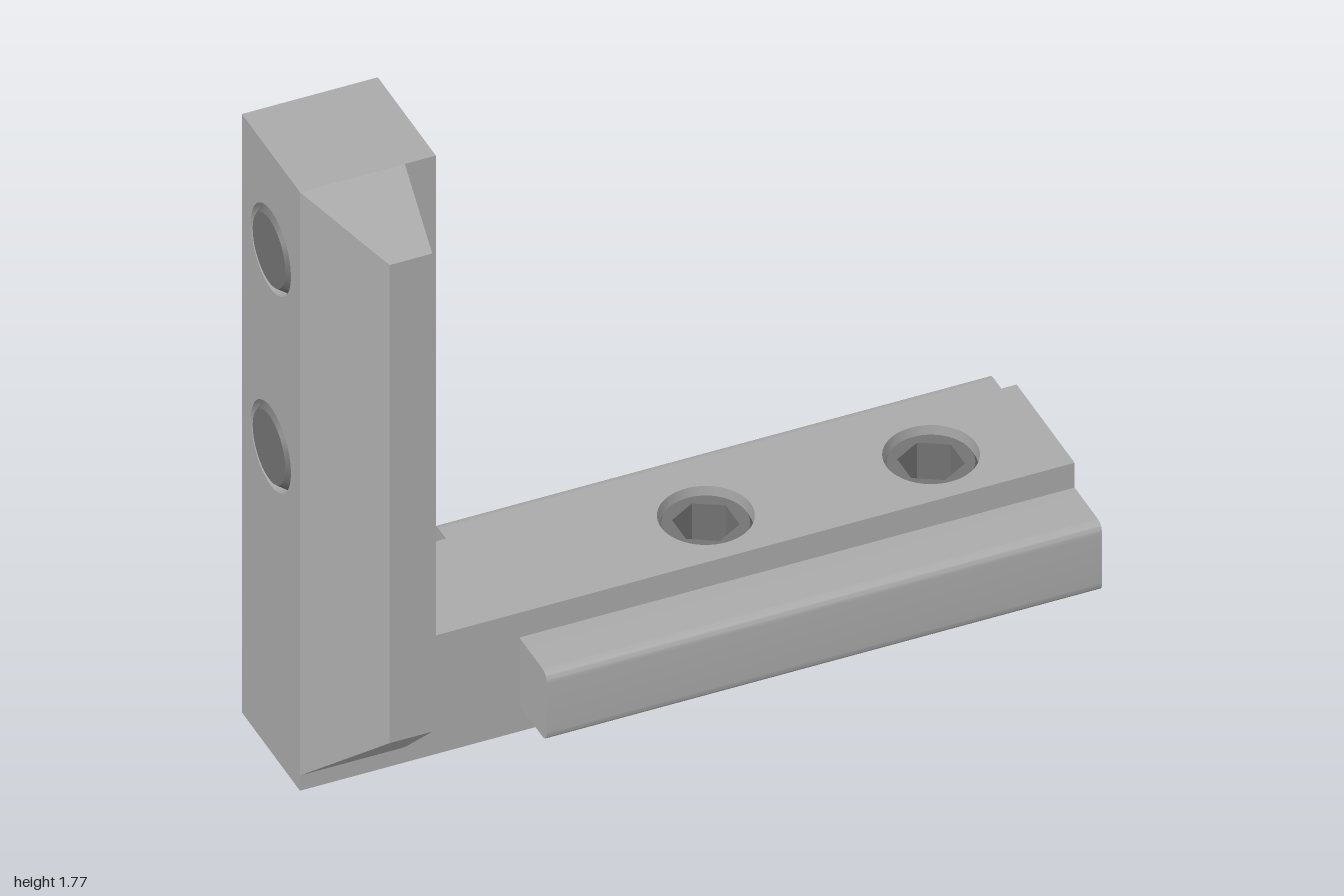
import * as THREE from 'three';
import { mergeGeometries, toCreasedNormals } from 'three/addons/utils/BufferGeometryUtils.js';

const HALF = 0.167;   // half width of the arms
const OUTER = 0.325;  // half width across the side rails
const THICK = 0.35;   // arm thickness
const HOLE = 0.115;   // screw hole radius

const steel = new THREE.MeshStandardMaterial({ color: 0xaaaaaa });
steel.name = 'steel grey';
const dark = new THREE.MeshStandardMaterial({ color: 0x737373 });
dark.name = 'dark screw grey';

function add(parent, name, geometry, material) {
  const mesh = new THREE.Mesh(geometry, material);
  mesh.name = name;
  parent.add(mesh);
  return mesh;
}

// Slab lying along x from x0 to x1, thickness in +y, with round through holes
function armGeometry(x0, x1, holes) {
  const shape = new THREE.Shape();
  shape.moveTo(x0, -HALF).lineTo(x1, -HALF).lineTo(x1, HALF).lineTo(x0, HALF).closePath();
  for (const x of holes) {
    shape.holes.push(new THREE.Path().absarc(x, 0, HOLE, 0, Math.PI * 2, true));
  }
  const g = new THREE.ExtrudeGeometry(shape, { depth: THICK, bevelEnabled: false, curveSegments: 40 });
  return toCreasedNormals(g.rotateX(-Math.PI / 2), 0.5);
}

// Tapered rail on one side of the upright arm
function taperedRail(s) {
  const g = new THREE.BoxGeometry(1, 1, 1);
  const p = g.attributes.position;
  for (let i = 0; i < p.count; i++) {
    const outer = p.getZ(i) * s > 0;
    const x = p.getX(i) > 0 ? -0.725 : outer ? -0.835 : -0.995;
    const y = p.getY(i) > 0 ? (outer ? 1.62 : 1.775) : (outer ? 0.21 : 0.055);
    p.setXYZ(i, x, y, s * (outer ? OUTER : HALF));
  }
  const flat = g.toNonIndexed();
  flat.computeVertexNormals();
  return flat;
}

// Straight rail with rounded outer edges on one side of the base arm
function roundedRail(s) {
  const y0 = 0.087, y1 = 0.287, r = 0.028;
  const shape = new THREE.Shape();
  shape.moveTo(-s * HALF, y0);
  shape.lineTo(-s * (OUTER - r), y0);
  shape.quadraticCurveTo(-s * OUTER, y0, -s * OUTER, y0 + r);
  shape.lineTo(-s * OUTER, y1 - r);
  shape.quadraticCurveTo(-s * OUTER, y1, -s * (OUTER - r), y1);
  shape.lineTo(-s * HALF, y1);
  shape.closePath();
  const g = new THREE.ExtrudeGeometry(shape, { depth: 1.43, bevelEnabled: false, curveSegments: 8 });
  return toCreasedNormals(g.rotateY(Math.PI / 2).translate(-0.43, 0, 0), 0.5);
}

// Grub screw along +y: tip at 0, hexagonal socket at the top
function screwGeometry() {
  const top = 0.34, socket = 0.08;
  const lathe = (points, sides, crease) => toCreasedNormals(
    new THREE.LatheGeometry(points.map(([x, y]) => new THREE.Vector2(x, y)), sides), crease);
  const shaft = lathe([[0, 0], [0.094, 0], [0.112, 0.025], [0.112, top - 0.015], [0.104, top]], 40, 0.4);
  const recess = lathe([[socket, top], [socket, top - 0.12], [0, top - 0.16]], 6, 0.05);

  const face = new THREE.Shape().absarc(0, 0, 0.104, 0, Math.PI * 2, false);
  const hex = new THREE.Path();
  for (let i = 0; i < 6; i++) {
    const a = -i * Math.PI / 3;
    const x = socket * Math.sin(a), y = socket * Math.cos(a);
    if (i === 0) hex.moveTo(x, y); else hex.lineTo(x, y);
  }
  hex.closePath();
  face.holes.push(hex);
  const ring = new THREE.ShapeGeometry(face, 40).rotateX(-Math.PI / 2).translate(0, top, 0);
  return mergeGeometries([shaft, recess, ring.toNonIndexed()]);
}

export function createModel() {
  const model = new THREE.Group();
  model.name = 'cornerBracket';
  const baseHoles = [0.125, 0.705];
  const uprightHoles = [0.91, 1.49];

  // Two arms of the L
  add(model, 'baseArm', armGeometry(-0.645, 1, baseHoles).translate(0, 0.01, 0), steel);
  add(model, 'uprightArm',
    armGeometry(0.01, 1.775, uprightHoles).rotateZ(Math.PI / 2).translate(-0.645, 0, 0), steel);

  // Side rails, mirrored front and back
  for (const s of [1, -1]) {
    const side = s > 0 ? 'Front' : 'Back';
    add(model, 'uprightRail' + side, taperedRail(s), steel);
    add(model, 'baseRail' + side, roundedRail(s), steel);
  }

  // Screws, tips standing slightly proud of the outer faces
  const screw = screwGeometry();
  for (const x of baseHoles) add(model, 'baseScrew', screw, dark).position.set(x, 0, 0);
  for (const y of uprightHoles) {
    const m = add(model, 'uprightScrew', screw, dark);
    m.position.set(-1, y, 0);
    m.rotation.z = -Math.PI / 2;
  }
  return model;
}
